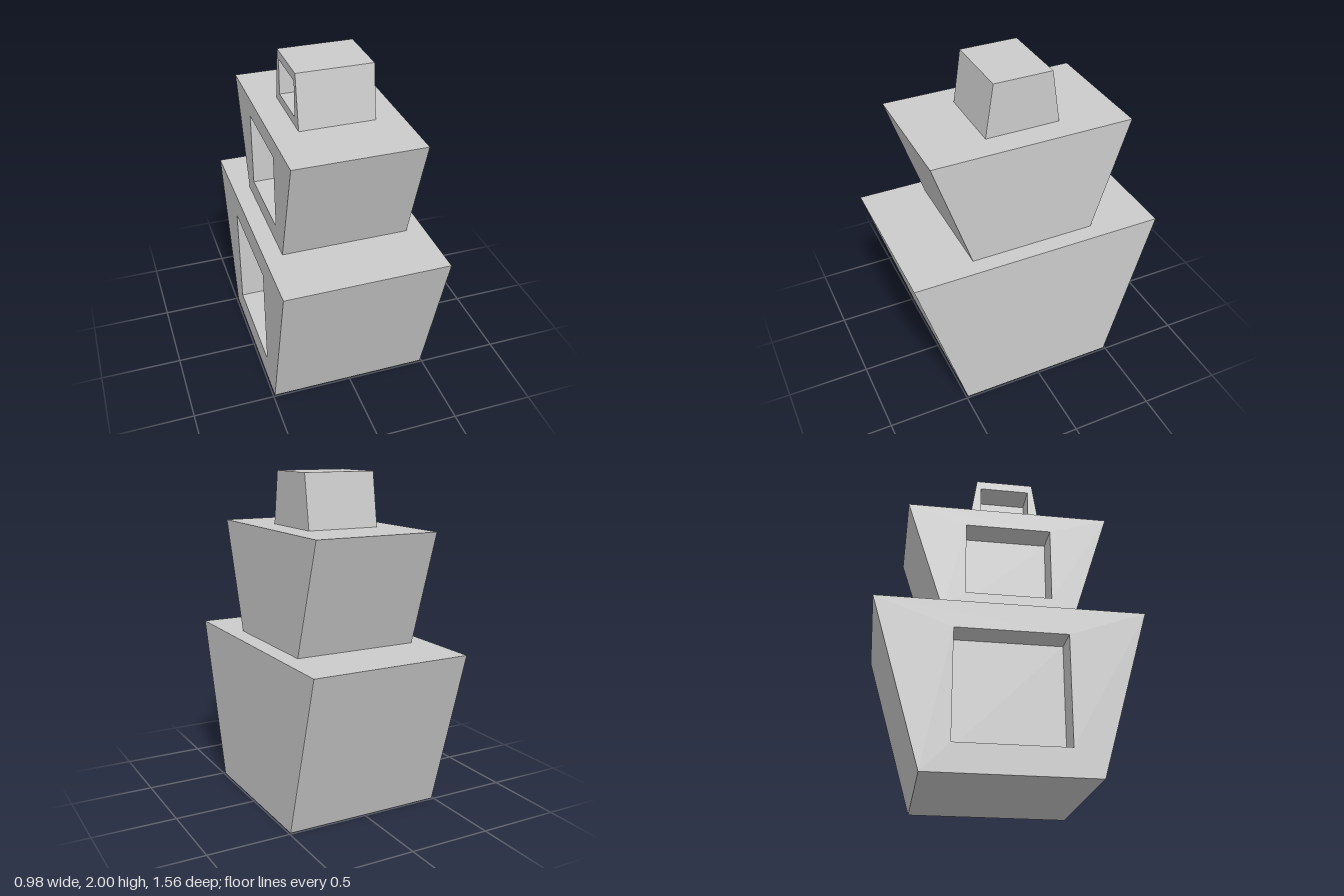
import * as THREE from 'three';

const RECESS_DEPTH = 0.17;

// Four corners in the plane at x, counter-clockwise as seen from +x.
function ring(x, y0, y1, z0, z1) {
  return [[x, y0, z0], [x, y0, -z0], [x, y1, -z1], [x, y1, z1]];
}

// A block with straight x sides, tapered in z, and a square-edged recess in its -x face.
function recessedBlock(w, y0, y1, zBottom, zTop) {
  const yMid = (y0 + y1) / 2;
  const holeH = (y1 - y0) / 3;
  const holeZ = w * 2 / 3;
  const opening = x => ring(x, yMid - holeH, yMid + holeH, holeZ, holeZ);
  const loops = [
    ring(w, y0, y1, zBottom, zTop),
    ring(-w, y0, y1, zBottom, zTop),
    opening(-w),
    opening(-w + RECESS_DEPTH),
  ];

  const positions = [];
  const quad = (a, b, c, d) => positions.push(...a, ...b, ...c, ...a, ...c, ...d);

  // Plain +x face, bands between the loops, then the recess floor
  quad(...loops[0]);
  for (let i = 0; i < loops.length - 1; i++) {
    const a = loops[i], b = loops[i + 1];
    for (let j = 0; j < 4; j++) {
      const k = (j + 1) % 4;
      quad(a[j], b[j], b[k], a[k]);
    }
  }
  quad(...loops[3].slice().reverse());

  const geometry = new THREE.BufferGeometry();
  geometry.setAttribute('position', new THREE.Float32BufferAttribute(positions, 3));
  geometry.computeVertexNormals();
  return geometry;
}

export function createModel() {
  const group = new THREE.Group();
  group.name = 'stackedBlocks';
  const material = new THREE.MeshStandardMaterial({ color: 0xcccccc, flatShading: true });

  // Half width, bottom y, top y, half depth at bottom, half depth at top
  const tiers = [
    ['lowerBlock', 0.49, 0, 0.99, 0.49, 0.78],
    ['middleBlock', 0.383, 0.99, 1.677, 0.385, 0.607],
    ['topBlock', 0.226, 1.677, 2, 0.226, 0.177],
  ];
  for (const [name, ...size] of tiers) {
    const mesh = new THREE.Mesh(recessedBlock(...size), material);
    mesh.name = name;
    group.add(mesh);
  }
  return group;
}
